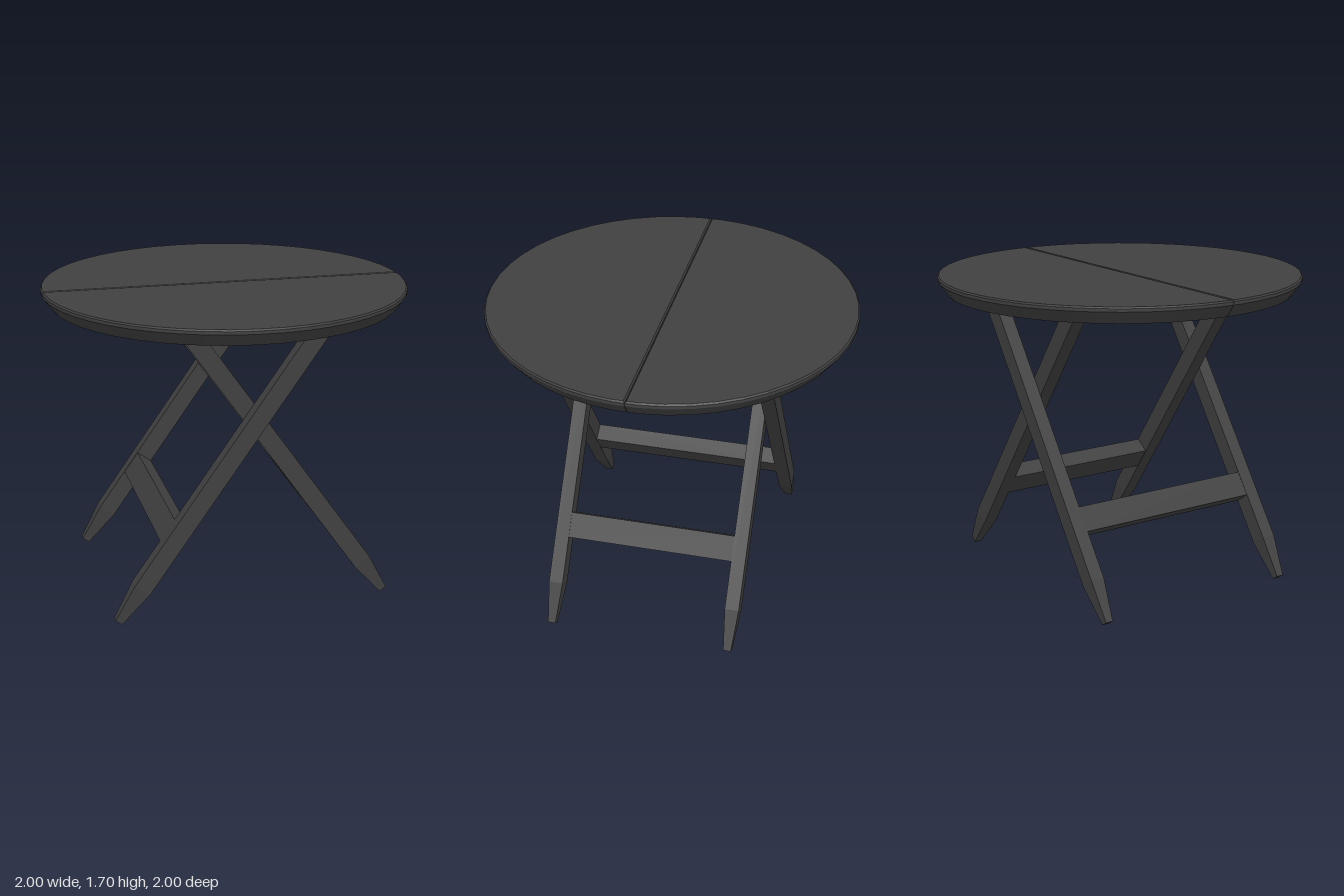
import * as THREE from 'three';

const material = new THREE.MeshStandardMaterial({ color: 0x404040, flatShading: true, roughness: 0.8 });

// Closed solid through convex rings stacked upward (each counter-clockwise from above)
function loft(rings) {
  const n = rings[0].length, last = (rings.length - 1) * n, index = [];
  for (let i = 0; i < rings.length - 1; i++) {
    for (let j = 0; j < n; j++) {
      const a = i * n + j, b = i * n + (j + 1) % n;
      index.push(a, b, b + n, a, b + n, a + n);
    }
  }
  for (let j = 1; j < n - 1; j++) {
    index.push(0, j + 1, j, last, last + j, last + j + 1);
  }
  const geometry = new THREE.BufferGeometry();
  geometry.setAttribute('position', new THREE.Float32BufferAttribute(rings.flat(2), 3));
  geometry.setIndex(index);
  const flat = geometry.toNonIndexed();
  flat.computeVertexNormals();
  return flat;
}

function addMesh(parent, name, geometry) {
  const mesh = new THREE.Mesh(geometry, material);
  mesh.name = name;
  parent.add(mesh);
  return mesh;
}

// Half disc of the 48-sided top, stopping short of the centre seam by `gap`
function halfDisc(r, y, gap) {
  const ring = [], edge = r * Math.cos(Math.PI / 48);
  ring.push([edge, y, -gap]);
  for (let k = 0; k < 24; k++) {
    const a = (k + 0.5) * Math.PI / 24;
    ring.push([r * Math.cos(a), y, -r * Math.sin(a)]);
  }
  ring.push([-edge, y, -gap]);
  return ring;
}

// Leg axis in the side plane: passes the crossing point, leaning at TILT
const CROSS_Y = 1.087, TILT = 0.615;
const axisX = (y) => (CROSS_Y - y) * Math.tan(TILT);

// Section square to the leg axis
function legRing(y, halfWidth, halfDepth) {
  const x = axisX(y), nx = Math.cos(TILT) * halfWidth, ny = Math.sin(TILT) * halfWidth;
  return [[1, 1], [1, -1], [-1, -1], [-1, 1]].map(([s, t]) => [x + s * nx, y + s * ny, t * halfDepth]);
}

function legGeometry() {
  // Top is cut level, just inside the table top
  const y = 1.62, x = axisX(y), h = 0.05 / Math.cos(TILT), d = 0.039;
  const top = [[x + h, y, d], [x + h, y, -d], [x - h, y, -d], [x - h, y, d]];
  return loft([legRing(0.013, 0.022, 0.021), legRing(0.2, 0.05, d), top]);
}

// Two parallel legs joined by a cross bar
function legFrame(name, z) {
  const frame = new THREE.Group();
  frame.name = name;
  for (const side of [1, -1]) {
    addMesh(frame, side > 0 ? 'legA' : 'legB', legGeometry()).position.z = side * z;
  }
  const bar = addMesh(frame, 'crossBar', new THREE.BoxGeometry(0.096, 0.14, 2 * z - 0.06));
  bar.position.set(axisX(0.47), 0.47, 0);
  bar.rotation.z = TILT;
  frame.position.x = 0.035;
  return frame;
}

export function createModel() {
  const table = new THREE.Group();
  table.name = 'foldingTable';

  // Table top: two halves with a bevelled rim and seam
  for (const [name, turn] of [['backTopHalf', 0], ['frontTopHalf', Math.PI]]) {
    const half = addMesh(table, name, loft([
      halfDisc(0.95, 1.612, 0.001),
      halfDisc(1.0, 1.68, 0.001),
      halfDisc(1.0, 1.697, 0.001),
      halfDisc(0.992, 1.705, 0.008),
    ]));
    half.rotation.y = turn;
  }

  // Crossing frames: the outer one leans the opposite way
  const inner = legFrame('innerLegFrame', 0.5);
  const outer = legFrame('outerLegFrame', 0.58);
  outer.rotation.y = Math.PI;
  table.add(inner, outer);
  return table;
}
